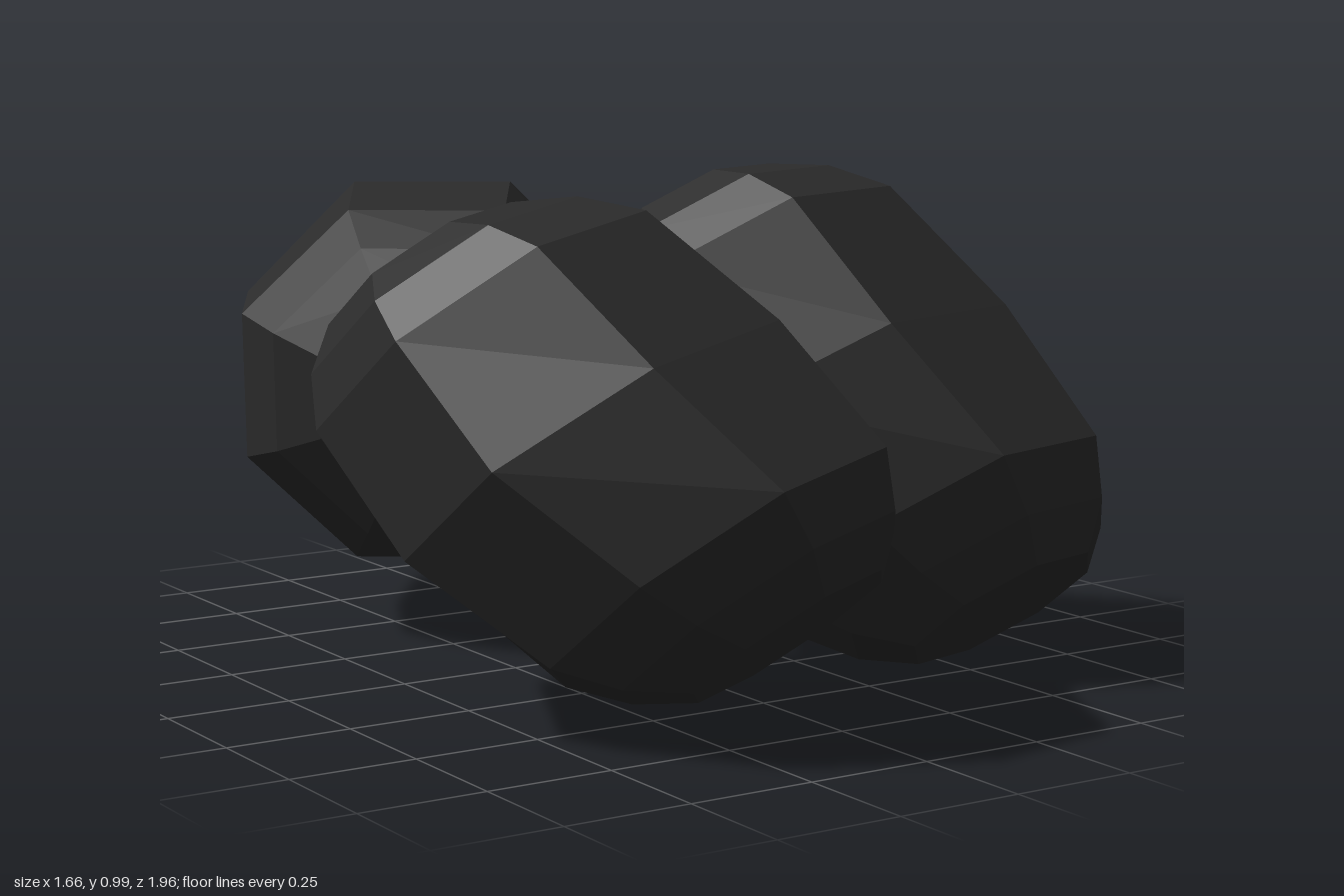
import * as THREE from 'three';

const stone = new THREE.MeshStandardMaterial({ color: 0x2b2b2b, flatShading: true });
stone.name = 'charcoal';

// Faceted octagonal pebble: radius and height along its long axis
const profile = [
  [0, -0.49], [0.225, -0.47], [0.325, -0.4], [0.4, -0.3], [0.415, 0],
  [0.4, 0.3], [0.325, 0.4], [0.225, 0.47], [0, 0.49],
].map(([r, h]) => new THREE.Vector2(r, h));

// axis: long direction, face: direction one broad side faces,
// size: scale of width, length and depth, pinch: narrowing of width and depth towards the ends,
// slant: slope of both ends across the section, flare: extra length on one side
const lumps = [
  { name: 'rightFrontLump', at: [-0.345, 0.515, 0.485], axis: [0.46, -0.67, 0.58], face: [0.06, 0.68, 0.72],
    size: [1.02, 1, 0.99], pinch: [0.13, 0], slant: [-0.2, 0.1], flare: 0 },
  { name: 'leftFrontLump', at: [0.36, 0.5, 0.26], axis: [0.38, -0.74, 0.55], face: [0.09, 0.39, 0.46],
    size: [1.05, 1.06, 0.92], pinch: [0.14, 0], slant: [-0.25, 0], flare: 0 },
  { name: 'backLump', at: [-0.155, 0.546, -0.485], axis: [0.52, 0, -0.85], face: [0, 1, 0],
    size: [1.01, 0.98, 1.03], pinch: [0, 0.05], slant: [0, -0.18], flare: 0.2 },
];

function shapePebble({ size, pinch, slant, flare }) {
  const geometry = new THREE.LatheGeometry(profile, 8, Math.PI / 8);
  const p = geometry.attributes.position;
  for (let i = 0; i < p.count; i++) {
    const t = Math.min(1, Math.abs(p.getY(i)) / 0.3);
    const x = p.getX(i) * size[0] * (1 - pinch[0] * t);
    const z = p.getZ(i) * size[2] * (1 - pinch[1] * t);
    const y = p.getY(i) * size[1] * (1 + flare * x) + slant[0] * x + slant[1] * z;
    p.setXYZ(i, x, y, z);
  }
  geometry.computeVertexNormals();
  return geometry;
}

export function createModel() {
  const model = new THREE.Group();
  model.name = 'lumpPile';
  for (const lump of lumps) {
    const y = new THREE.Vector3(...lump.axis).normalize();
    const x = new THREE.Vector3().crossVectors(y, new THREE.Vector3(...lump.face)).normalize();
    const z = new THREE.Vector3().crossVectors(x, y);
    const mesh = new THREE.Mesh(shapePebble(lump), stone);
    mesh.name = lump.name;
    mesh.quaternion.setFromRotationMatrix(new THREE.Matrix4().makeBasis(x, y, z));
    mesh.position.set(...lump.at);
    model.add(mesh);
  }
  return model;
}
